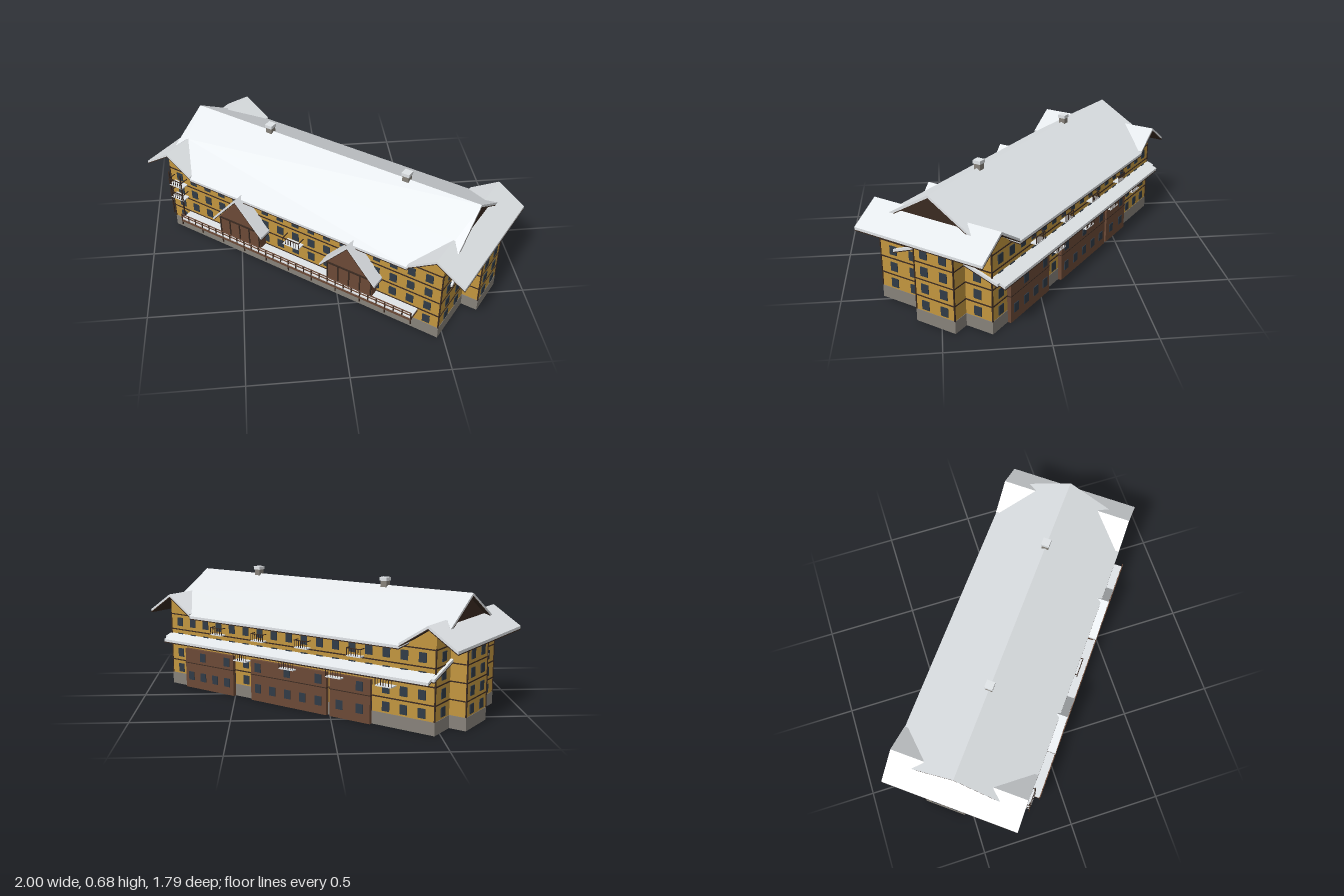
import * as THREE from 'three';

const mat = (name, color) => {
  const m = new THREE.MeshStandardMaterial({ color });
  m.name = name;
  return m;
};

export function createModel() {
  const M = {
    wall: mat('ochre wall', 0xc2963f),
    wood: mat('brown timber', 0x6b4936),
    dark: mat('dark trim', 0x3a2a21),
    roof: mat('pale roof', 0xe0e4e7),
    stone: mat('grey plinth', 0x87827a),
    glass: mat('window glass', 0x303b47),
  };
  const model = new THREE.Group();
  const house = new THREE.Group();
  house.name = 'building';
  house.rotation.y = -THREE.MathUtils.degToRad(38);
  model.add(house);

  const add = (name, geo, m, parent = house) => {
    const mesh = new THREE.Mesh(geo, m);
    mesh.name = name;
    parent.add(mesh);
    return mesh;
  };
  // Box given by its min and max on each axis
  const box = (name, m, x0, x1, y0, y1, z0, z1, parent = house) => {
    const b = add(name, new THREE.BoxGeometry(x1 - x0, y1 - y0, z1 - z0), m, parent);
    b.position.set((x0 + x1) / 2, (y0 + y1) / 2, (z0 + z1) / 2);
  };
  // Hollow rectangular ring of walls, open above and below
  const shell = (name, m, x0, x1, y0, y1, z0, z1, t) => {
    const rect = (d) => [[x0 + d, z1 - d], [x1 - d, z1 - d], [x1 - d, z0 + d], [x0 + d, z0 + d]]
      .map(([x, z]) => new THREE.Vector2(x, -z));
    const s = new THREE.Shape(rect(0));
    s.holes.push(new THREE.Path(rect(t).reverse()));
    const g = new THREE.ExtrudeGeometry(s, { depth: y1 - y0, bevelEnabled: false });
    add(name, g.rotateX(-Math.PI / 2).translate(0, y0, 0), m);
  };
  // Sloped slab: plan outline in x,z lifted to a height rule
  const slab = (name, m, plan, height, t) => {
    const shape = new THREE.Shape(plan.map(([x, z]) => new THREE.Vector2(x, -z)));
    const g = new THREE.ExtrudeGeometry(shape, { depth: t, bevelEnabled: false });
    g.rotateX(-Math.PI / 2);
    const p = g.attributes.position;
    for (let i = 0; i < p.count; i++) p.setY(i, p.getY(i) + height(p.getX(i), p.getZ(i)) - t);
    g.computeVertexNormals();
    add(name, g, m);
  };
  const roofSlab = (name, plan, height) => {
    slab(name, M.roof, plan, height, 0.014);
    slab(name + 'Soffit', M.dark, plan, (x, z) => height(x, z) - 0.0141, 0.005);
  };
  // Upright polygon in x,y pushed along z
  const prism = (name, m, pts, z0, z1) => {
    const s = new THREE.Shape(pts.map(([x, y]) => new THREE.Vector2(x, y)));
    const mesh = add(name, new THREE.ExtrudeGeometry(s, { depth: z1 - z0, bevelEnabled: false }), m);
    mesh.position.z = z0;
    return mesh;
  };

  const W = 0.853, D = 0.331, TOP = 0.42, BAY = 0.942;
  const rows = [0.1, 0.19, 0.28, 0.37];
  const bands = [0.145, 0.235, 0.325, 0.412];

  // Hollow main body and end bays
  shell('mainWalls', M.wall, -W, W, 0, TOP, -D, D, 0.006);
  shell('plinth', M.stone, -W - 0.002, W + 0.002, 0, 0.066, -D - 0.002, D + 0.002, 0.002);
  for (const s of [-1, 1]) {
    const [a, b] = s > 0 ? [W - 0.004, BAY] : [-BAY, -W + 0.004];
    shell('endBay', M.wall, a, b, 0, 0.435, -0.18, 0.045, 0.005);
    shell('endBayPlinth', M.stone, a - 0.002, b + 0.002, 0, 0.066, -0.182, 0.047, 0.002);
    for (const y of bands) shell('bayBand', M.dark, a - 0.002, b + 0.002, y - 0.003, y + 0.003, -0.182, 0.047, 0.002);
    for (const z of [-0.18, 0.045])
      box('bayCorner', M.dark, s * BAY - 0.003, s * BAY + 0.003, 0.066, 0.435, z - 0.003, z + 0.003);
  }
  for (const y of bands)
    shell('floorBand', M.dark, -W - 0.003, W + 0.003, y - 0.003, y + 0.003, -D - 0.003, D + 0.003, 0.003);
  for (const x of [-W, W]) for (const z of [-D, D])
    box('cornerTrim', M.dark, x - 0.003, x + 0.003, 0.066, TOP, z - 0.003, z + 0.003);

  // Windows: thin plates on a wall facing along x or z
  const winZ = (x, y, z) =>
    box('window', M.glass, x - 0.02, x + 0.02, y - 0.024, y + 0.024, z - 0.004, z + 0.004);
  const winX = (x, y, z) =>
    box('window', M.glass, x - 0.004, x + 0.004, y - 0.024, y + 0.024, z - 0.021, z + 0.021);
  for (const y of rows) {
    for (let i = -8; i <= 8; i++) {
      winZ(i * 0.098, y, D);
      winZ(i * 0.098, y, -D);
    }
    for (const s of [-1, 1]) {
      for (const z of [0.25, 0.13, -0.25]) winX(s * W, y, z);
      for (const z of [-0.012, -0.122]) winX(s * BAY, y, z);
    }
  }

  // Inner timber wall and ceiling, seen through the open base
  box('innerWall', M.wood, -0.82, 0.82, 0, 0.25, 0.275, 0.283);
  box('innerCeiling', M.dark, -W + 0.008, W - 0.008, 0.25, 0.256, -D + 0.008, D - 0.008);
  for (let i = -5; i <= 5; i++) winZ(i * 0.14, 0.16, 0.275);

  // Main roof with valleys cut for the cross wings
  const mainH = (x, z) => 0.64 - 0.595 * Math.abs(z);
  const half = [[0.876, 0], [0.876, 0.24], [0.832, 0.187], [0.674, 0.37]];
  const front = [...half, ...half.slice().reverse().map(([x, z]) => [-x, z])];
  roofSlab('mainRoofFront', front, mainH);
  roofSlab('mainRoofBack', front.map(([x, z]) => [x, -z]), mainH);

  // Cross wings at both ends
  const wingH = (x) => 0.53 - 0.65 * Math.abs(Math.abs(x) - 0.826);
  for (const s of [-1, 1]) {
    for (const x of [0.674, 0.98])
      roofSlab('wingRoof', [[s * 0.826, -0.37], [s * x, -0.37], [s * x, 0.37], [s * 0.826, 0.37]], wingH);
    prism('wingGableWall', M.wall,
      [[0.69, 0.415], [W, 0.415], [W, 0.488], [0.826, 0.508], [0.69, 0.421]].map(([x, y]) => [s * x, y]), -D, D);
    // Upper gable at the end of the ridge
    const g = prism('upperGable', M.dark, [[-0.24, 0.48], [0.24, 0.48], [0, 0.622]], 0, 0.01);
    g.rotation.y = Math.PI / 2;
    g.position.x = s * 0.85 - 0.005;
  }

  // Chimneys
  for (const x of [-0.378, 0.467]) {
    box('chimney', M.stone, x - 0.018, x + 0.018, 0.6, 0.662, -0.018, 0.018);
    box('chimneyCap', M.roof, x - 0.022, x + 0.022, 0.662, 0.68, -0.022, 0.022);
  }

  // Balcony projecting from a long wall; s is the outward z direction
  const balcony = (x, y, s, w = 0.09, d = 0.04) => {
    const g = new THREE.Group();
    g.name = 'balcony';
    g.position.set(x, y, s * D);
    if (s < 0) g.rotation.y = Math.PI;
    house.add(g);
    box('balconyFloor', M.roof, -w / 2, w / 2, -0.006, 0, 0, d, g);
    for (let i = 0; i <= 6; i++) {
      const px = -w / 2 + (w * i) / 6;
      box('baluster', M.dark, px - 0.0013, px + 0.0013, 0, 0.036, d - 0.003, d, g);
    }
    box('handrail', M.dark, -w / 2, w / 2, 0.034, 0.038, d - 0.004, d, g);
    for (const e of [-1, 1])
      box('sideRail', M.dark, e * w / 2 - 0.002, e * w / 2 + 0.002, 0.034, 0.038, 0, d, g);
  };
  for (const x of [0.48, 0.19, -0.1, -0.42]) balcony(x, 0.335, -1, 0.08, 0.035);
  balcony(0, 0.25, 1, 0.1, 0.05);
  for (const y of [0.25, 0.335]) balcony(-0.78, y, 1, 0.09, 0.05);
  for (const x of [-0.82, -0.74]) box('balconyPost', M.dark, x - 0.003, x + 0.003, 0.13, 0.42, 0.375, 0.381);

  // Long front terrace with railing and brackets
  box('terraceDeck', M.roof, -0.735, 0.735, 0.136, 0.144, D, 0.408);
  box('terraceBeam', M.wood, -0.735, 0.735, 0.122, 0.136, D, 0.41);
  for (let i = 0; i <= 30; i++) {
    const x = -0.735 + i * 0.049;
    box('terraceBaluster', M.dark, x - 0.003, x + 0.003, i % 3 ? 0.136 : 0.1, 0.172, 0.405, 0.41);
  }
  for (const y of [0.155, 0.17]) box('terraceRail', M.wood, -0.735, 0.735, y, y + 0.005, 0.406, 0.41);

  // Two gabled timber porches on the terrace
  for (const c of [-0.335, 0.362]) {
    prism('porchWall', M.wood, [[-0.135, 0.14], [0.135, 0.14], [0.135, 0.257], [0, 0.41], [-0.135, 0.257]]
      .map(([x, y]) => [x + c, y]), D, 0.384);
    const h = (x) => 0.434 - 1.13 * Math.abs(x - c);
    for (const e of [-1, 1])
      roofSlab('porchRoof', [[c, D], [c + e * 0.163, D], [c + e * 0.163, 0.41], [c, 0.41]], h);
    for (const dx of [-0.13, -0.065, 0, 0.065, 0.13])
      box('porchPost', M.dark, c + dx - 0.003, c + dx + 0.003, 0.144, 0.258, 0.383, 0.389);
    box('porchRail', M.dark, c - 0.13, c + 0.13, 0.252, 0.26, 0.383, 0.39);
  }

  // Lean-to roof along the back
  roofSlab('leanToRoof', [[-0.85, -D + 0.01], [0.85, -D + 0.01], [0.85, -0.4], [-0.85, -0.4]],
    (x, z) => 0.3 + 0.4 * (z + D));

  // Timber ground-floor porches beneath it
  const P = -0.352;
  for (const [a, b] of [[0.372, 0.73], [-0.25, 0.245], [-0.51, -0.272]]) {
    box('backPorch', M.wood, a, b, 0, 0.225, P, -D + 0.006);
    box('backPorchBeam', M.dark, a - 0.002, b + 0.002, 0.142, 0.146, P - 0.002, -D);
    const n = Math.round((b - a) / 0.1);
    for (let i = 0; i < n; i++) {
      const x = a + ((b - a) * (i + 0.5)) / n;
      winZ(x, 0.07, P);
      if (i % 2 === 0) winZ(x, 0.185, P);
    }
  }
  for (const x of [0.3, -0.015, -0.31, -0.6]) balcony(x, 0.215, -1, 0.09, 0.05);

  // Narrow sloping canopies beside each end bay
  for (const s of [-1, 1]) {
    for (const [z0, y0, z1, y1] of [[0.07, 0.36, 0.24, 0.295], [-0.18, 0.345, -0.37, 0.285]]) {
      const a = s * (W - 0.004), b = s * (W + 0.014);
      roofSlab('endCanopy', [[a, z0], [b, z0], [b, z1], [a, z1]],
        (x, z) => y0 + ((y1 - y0) * (z - z0)) / (z1 - z0));
    }
  }
  return model;
}
